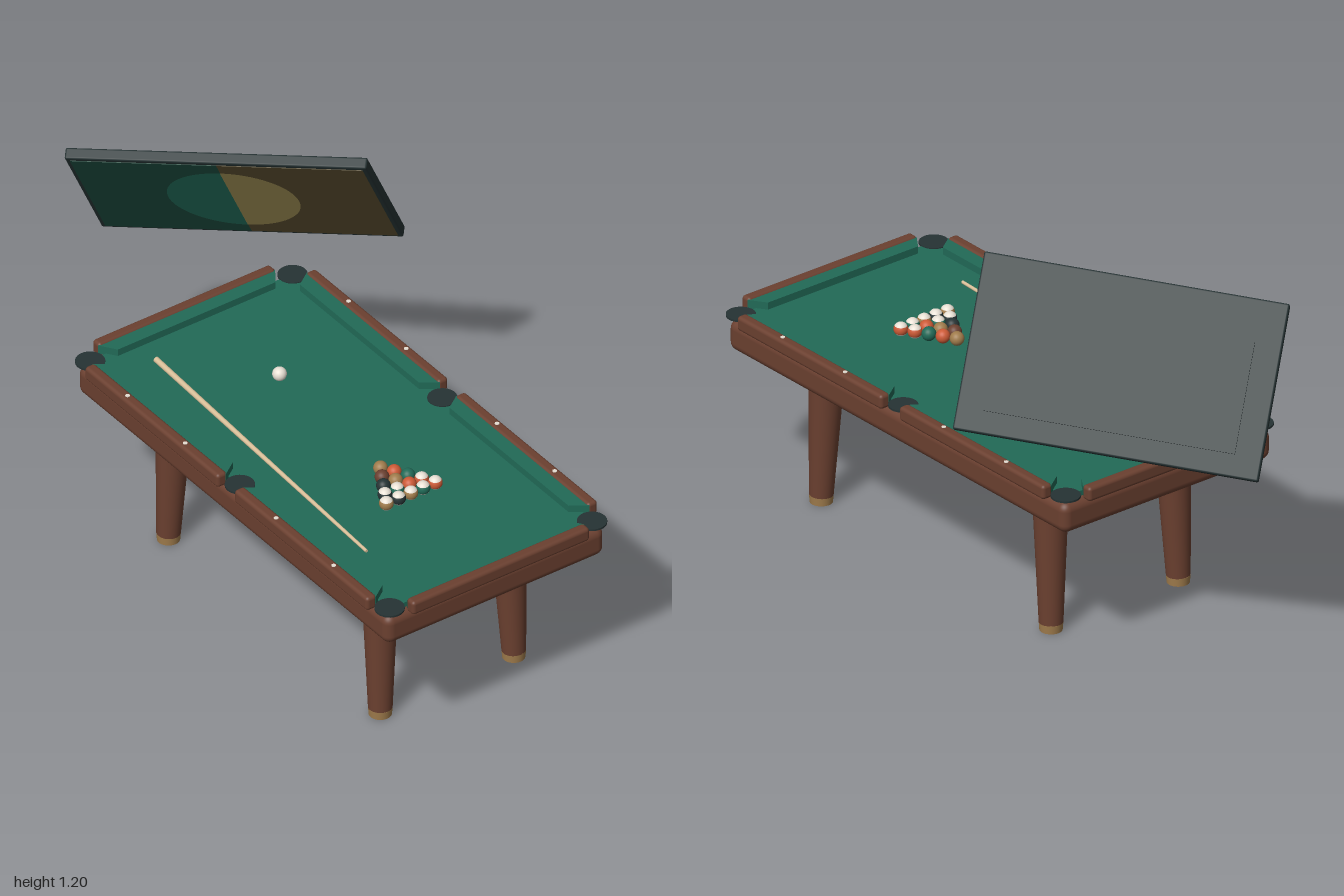
import * as THREE from 'three';
import { RoundedBoxGeometry } from 'three/addons/geometries/RoundedBoxGeometry.js';

function paint(name, color) {
  const m = new THREE.MeshStandardMaterial({ color });
  m.name = name;
  return m;
}

function add(parent, name, geometry, material, x = 0, y = 0, z = 0) {
  const mesh = new THREE.Mesh(geometry, material);
  mesh.name = name;
  mesh.position.set(x, y, z);
  parent.add(mesh);
  return mesh;
}

// Tapered round bar between two points
function bar(parent, name, from, to, r0, r1, material) {
  const a = new THREE.Vector3(...from), b = new THREE.Vector3(...to);
  const dir = b.clone().sub(a);
  const mesh = add(parent, name, new THREE.CylinderGeometry(r1, r0, dir.length(), 28), material);
  mesh.position.copy(a).add(b).multiplyScalar(0.5);
  mesh.quaternion.setFromUnitVectors(new THREE.Vector3(0, 1, 0), dir.normalize());
  return mesh;
}

export function createModel() {
  const wood = paint('brown wood', 0x6b4030);
  const felt = paint('green felt', 0x216a57);
  const dark = paint('charcoal', 0x263334);
  const brass = paint('brass', 0xa07c4c);
  const cream = paint('cream', 0xeae2d6);
  const orange = paint('orange', 0xcc5a36);
  const maple = paint('maple', 0xd8be98);
  const deepGreen = paint('deep green', 0x1a4a3c);
  const olive = paint('olive', 0x554a2c);
  const khaki = paint('khaki', 0x9a8a50);

  const model = new THREE.Group();
  model.name = 'poolTableAndScreen';

  // Table, turned slightly on the floor
  const table = new THREE.Group();
  table.name = 'table';
  table.position.set(0.175, 0, 0.083);
  table.rotation.y = -0.104;
  model.add(table);

  add(table, 'body', new RoundedBoxGeometry(1.54, 0.098, 0.78, 5, 0.028), wood, 0, 0.496, 0);
  add(table, 'playingSurface', new THREE.BoxGeometry(1.49, 0.02, 0.73), felt, 0, 0.551, 0);

  // Splayed legs with brass feet
  for (const sx of [-1, 1]) for (const sz of [-1, 1]) {
    const foot = [sx * 0.524, 0.025, sz * 0.238];
    bar(table, 'leg', foot, [sx * 0.509, 0.46, sz * 0.228], 0.036, 0.055, wood);
    add(table, 'foot', new THREE.CylinderGeometry(0.036, 0.034, 0.026, 28), brass, foot[0], 0.013, foot[2]);
  }

  // Rail with its cushion, facing outward along +z, then turned into place
  function rail(angle, outer, centre, length) {
    const g = new THREE.Group();
    g.name = 'rail';
    g.rotation.y = angle;
    table.add(g);
    add(g, 'railTop', new RoundedBoxGeometry(length, 0.046, 0.036, 4, 0.011), wood, centre, 0.566, outer - 0.018);
    const h = length / 2, back = outer - 0.03, nose = outer - 0.08;
    const plan = new THREE.Shape([
      new THREE.Vector2(-h, -back), new THREE.Vector2(h, -back),
      new THREE.Vector2(h - 0.035, -nose), new THREE.Vector2(-h + 0.035, -nose),
    ]);
    const cushion = new THREE.ExtrudeGeometry(plan, { depth: 0.029, bevelEnabled: false });
    cushion.rotateX(-Math.PI / 2);
    add(g, 'cushion', cushion, felt, centre, 0.555, 0);
    return g;
  }
  for (const angle of [0, Math.PI]) for (const side of [-1, 1]) {
    const g = rail(angle, 0.412, side * 0.37, 0.66);
    for (const x of [0.225, 0.51])
      add(g, 'railSight', new THREE.CylinderGeometry(0.007, 0.007, 0.004, 16), cream, side * x, 0.589, 0.394);
  }
  for (const angle of [-Math.PI / 2, Math.PI / 2]) rail(angle, 0.795, 0, 0.632);

  // Pockets
  for (const x of [-0.741, 0, 0.741]) for (const z of [-0.361, 0.361])
    add(table, 'pocket', new THREE.CylinderGeometry(0.044, 0.044, 0.006, 32), dark, x, 0.561, z);

  // Balls: solid, or cream with a coloured band
  const R = 0.0215, ballY = 0.561 + R;
  const cap = Math.PI * 0.33;
  function ball(x, z, colour, striped) {
    const g = new THREE.Group();
    g.name = striped ? 'stripedBall' : 'ball';
    g.position.set(x, ballY, z);
    table.add(g);
    if (!striped) return add(g, 'ballSurface', new THREE.SphereGeometry(R, 24, 16), colour);
    const zone = (start, len) => new THREE.SphereGeometry(R, 24, 8, 0, Math.PI * 2, start, len);
    add(g, 'ballTop', zone(0, cap), cream);
    add(g, 'ballBand', zone(cap, Math.PI - 2 * cap), colour);
    add(g, 'ballBottom', zone(Math.PI - cap, cap), cream);
  }
  const rack = [
    [brass],
    [orange, wood],
    [felt, brass, dark],
    [orange, orange, felt, dark],
    [orange, felt, brass, dark, brass],
  ];
  rack.forEach((row, i) => row.forEach((colour, j) => {
    const striped = i === 4 || (i === 3 && j !== 1);
    ball(0.195 + i * 0.0375, (j - i / 2) * 0.0436, colour, striped);
  }));
  ball(-0.348, -0.031, cream, false);

  // Cue lying on the felt
  bar(table, 'cue', [-0.627, 0.57, 0.208], [0.484, 0.567, 0.258], 0.009, 0.005, maple);

  // Tilted screen hanging above one corner
  const u = new THREE.Vector3(0.803, 0.115, -0.584).normalize();
  const n = u.clone().cross(new THREE.Vector3(0.242, 0.841, 0.484)).normalize();
  const v = n.clone().cross(u);
  const screen = new THREE.Group();
  screen.name = 'screen';
  screen.quaternion.setFromRotationMatrix(new THREE.Matrix4().makeBasis(u, v, n));
  screen.position.set(-0.567, 0.926, -0.166);
  model.add(screen);

  add(screen, 'screenCase', new RoundedBoxGeometry(0.9, 0.524, 0.035, 3, 0.006), dark);
  add(screen, 'backPanel', new THREE.BoxGeometry(0.74, 0.33, 0.02), dark, 0, -0.03, -0.018);
  for (const [side, field, disc, start] of [[-1, deepGreen, felt, Math.PI / 2], [1, olive, khaki, -Math.PI / 2]]) {
    add(screen, 'screenHalf', new THREE.BoxGeometry(0.436, 0.494, 0.004), field, side * 0.218, 0, 0.0175);
    add(screen, 'halfDisc', new THREE.CircleGeometry(0.195, 40, start, Math.PI), disc, 0, 0, 0.0215);
  }

  return model;
}
